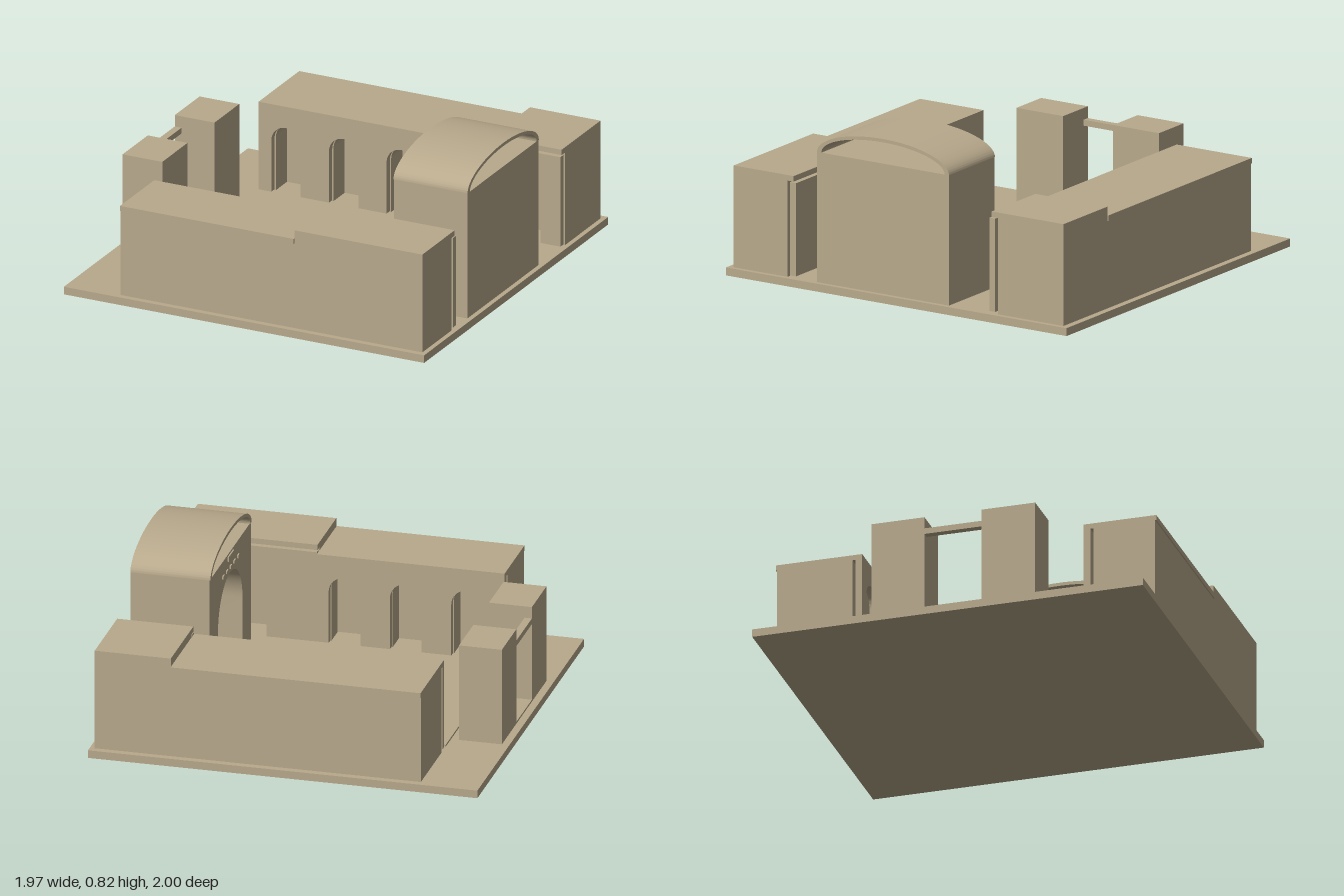
import * as THREE from 'three';
import { toCreasedNormals } from 'three/addons/utils/BufferGeometryUtils.js';

const sand = new THREE.MeshStandardMaterial({ color: 0xb8a98c });
sand.name = 'sandstone';

export function createModel() {
  const root = new THREE.Group();
  root.name = 'courtyardCompound';

  const add = (name, geo, parent = root) => {
    const m = new THREE.Mesh(geo, sand);
    m.name = name;
    parent.add(m);
    return m;
  };
  // Box given by its limits on each axis
  const box = (name, x0, x1, y0, y1, z0, z1, parent) => {
    const m = add(name, new THREE.BoxGeometry(x1 - x0, y1 - y0, Math.abs(z1 - z0)), parent);
    m.position.set((x0 + x1) / 2, (y0 + y1) / 2, (z0 + z1) / 2);
    return m;
  };
  // Upright slab with round-headed openings cut up from its foot;
  // each arch is [centre, width, crown height]
  const arcade = (u0, u1, y0, y1, depth, arches) => {
    const s = new THREE.Shape();
    s.moveTo(u0, y0);
    for (const [c, w, top] of arches) {
      const r = w / 2;
      s.lineTo(c - r, y0);
      s.lineTo(c - r, top - r);
      s.absarc(c, top - r, r, Math.PI, 0, true);
      s.lineTo(c + r, y0);
    }
    s.lineTo(u1, y0);
    s.lineTo(u1, y1);
    s.lineTo(u0, y1);
    s.closePath();
    const g = new THREE.ExtrudeGeometry(s, { depth, bevelEnabled: false, curveSegments: 16 });
    return toCreasedNormals(g, 0.6);
  };

  // Ground and courtyard paving
  box('groundSlab', -0.985, 0.985, 0, 0.04, -1, 1);
  box('courtyardPaving', -0.69, 0.545, 0.04, 0.05, -0.5, 0.575);

  // Side ranges: solid rear, arched niches and a thin arched screen to the court
  const range = (name, side, inner, outer, split, arches) => {
    const g = new THREE.Group();
    g.name = name;
    root.add(g);
    const layer = (part, x0, x1, y0, top, a, b, list) => {
      const m = add(part, arcade(x0, x1, y0, top, b - a, list), g);
      m.position.z = side > 0 ? a : -b;
    };
    const low = arches.filter(a => a[0] < split);
    const high = arches.filter(a => a[0] > split);
    const niche = inner + 0.05, rear = inner + 0.17;
    layer('lowNiches', -0.69, split, 0.04, 0.5, niche, rear, low);
    layer('highNiches', split, 0.96, 0.04, 0.53, niche, rear, high);
    box('lowRear', -0.69, split, 0.04, 0.49, side * rear, side * outer, g);
    box('highRear', split, 0.96, 0.04, 0.53, side * rear, side * outer, g);
    layer('archScreen', -0.69, 0.96, 0.05, 0.5, inner, inner + 0.035, arches);
    box('lowRoof', -0.69, split, 0.485, 0.512, side * inner, side * (outer + 0.006), g);
    box('highRoof', split, 0.96, 0.528, 0.556, side * (inner + 0.014), side * outer, g);
    box('highScreenTop', split, 0.96, 0.5, 0.522, side * inner, side * (inner + 0.035), g);
  };
  range('frontRange', 1, 0.604, 0.97, 0.26,
    [[-0.5, 0.16, 0.4], [-0.19, 0.16, 0.4], [0.12, 0.16, 0.4], [0.61, 0.19, 0.42]]);
  range('backRange', -1, 0.53, 0.966, 0.575,
    [[-0.54, 0.16, 0.4], [-0.225, 0.16, 0.4], [0.09, 0.16, 0.4], [0.405, 0.16, 0.4], [0.767, 0.17, 0.42]]);

  // Vaulted hall, open towards the court
  const hall = new THREE.Group();
  hall.name = 'vaultedHall';
  root.add(hall);
  const zc = 0.093;
  const front = add('hallArch', arcade(-0.387, 0.387, 0.04, 0.7, 0.3, [[0, 0.46, 0.59]]), hall);
  front.rotation.y = Math.PI / 2;
  front.position.set(0.56, 0, zc);
  box('hallEndWall', 0.86, 0.96, 0.04, 0.7, zc - 0.387, zc + 0.387, hall);

  // Thin elliptical roof shell
  const shell = new THREE.Shape();
  shell.moveTo(0.387, 0.7);
  shell.absellipse(0, 0.7, 0.387, 0.125, 0, Math.PI, false);
  shell.lineTo(-0.362, 0.7);
  shell.absellipse(0, 0.7, 0.362, 0.108, Math.PI, 0, true);
  shell.closePath();
  const vaultGeo = new THREE.ExtrudeGeometry(shell, { depth: 0.405, bevelEnabled: false, curveSegments: 40 });
  const vault = add('vaultRoof', toCreasedNormals(vaultGeo, 0.6), hall);
  vault.rotation.y = Math.PI / 2;
  vault.position.set(0.556, 0, zc);

  // Small studs and plaque over the hall arch
  for (let i = -2; i <= 2; i++) {
    const z = zc + i * 0.07;
    box('archStud', 0.553, 0.562, 0.613, 0.628, z - 0.014, z + 0.014, hall);
  }
  box('archPlaque', 0.553, 0.562, 0.665, 0.69, zc - 0.05, zc + 0.05, hall);

  // Small table in the hall
  const table = new THREE.Group();
  table.name = 'table';
  root.add(table);
  box('tableTop', 0.6, 0.7, 0.1, 0.112, 0, 0.1, table);
  for (const x of [0.605, 0.685])
    for (const z of [0.005, 0.085])
      box('tableLeg', x, x + 0.01, 0.04, 0.1, z, z + 0.01, table);

  // Gate with two towers, a sill and a beam
  box('gateTowerBack', -0.947, -0.73, 0.04, 0.54, -0.4, -0.13);
  box('gateTowerFront', -0.947, -0.73, 0.04, 0.54, 0.163, 0.437);
  box('gateSill', -0.947, -0.73, 0.04, 0.05, -0.13, 0.163);
  box('gateBeam', -0.947, -0.91, 0.45, 0.48, -0.13, 0.163);

  return root;
}
